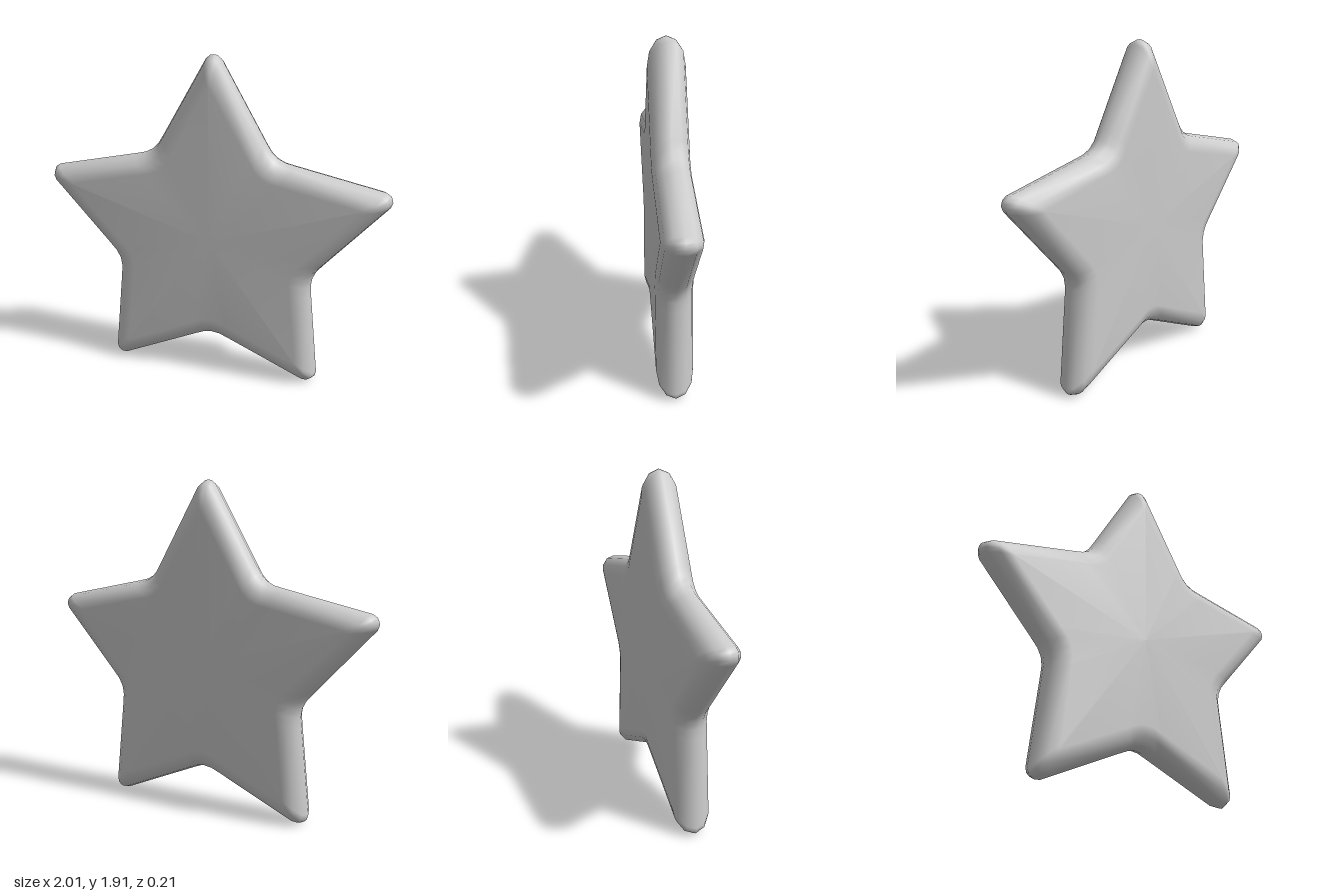
import * as THREE from 'three';

const CENTRE_Y = 0.852;
const HALF_DEPTH = 0.105;

// One fifth of the outline, counter-clockwise from an arm tip.
// Each entry: [frame angle in degrees, rim radius, rim offset, face radius, face offset]
const SECTOR = [
  [0, 1.052, 0, 0.89, 0],
  [0, 1.05, 0.02, 0.886, 0.003],
  [0, 1.03, 0.045, 0.875, 0.009],
  [36, 0.652, -0.103, 0.532, -0.1],
  [36, 0.63, -0.05, 0.51, -0.05],
  [36, 0.622, 0, 0.503, 0],
  [36, 0.63, 0.05, 0.51, 0.05],
  [36, 0.652, 0.103, 0.532, 0.1],
  [72, 1.03, -0.045, 0.875, -0.009],
  [72, 1.05, -0.02, 0.886, -0.003],
];

// Point at a radius along a ray, shifted sideways from it
function polar(deg, r, side) {
  const a = THREE.MathUtils.degToRad(deg);
  return new THREE.Vector2(
    r * Math.cos(a) - side * Math.sin(a),
    r * Math.sin(a) + side * Math.cos(a)
  );
}

function starGeometry() {
  const rim = [], face = [];
  for (let arm = 0; arm < 5; arm++) {
    for (const [deg, rr, rs, fr, fs] of SECTOR) {
      const a = 90 + arm * 72 + deg;
      rim.push(polar(a, rr, rs));
      face.push(polar(a, fr, fs));
    }
  }

  // Rings from the front face around the rounded edge to the back face
  const n = rim.length, rings = 7;
  const positions = [], index = [];
  for (let j = 0; j < rings; j++) {
    const t = Math.PI / 2 - (j * Math.PI) / (rings - 1);
    for (let i = 0; i < n; i++) {
      const p = face[i].clone().lerp(rim[i], Math.cos(t));
      positions.push(p.x, p.y, HALF_DEPTH * Math.sin(t));
    }
  }
  const front = rings * n, back = front + 1;
  positions.push(0, 0, HALF_DEPTH, 0, 0, -HALF_DEPTH);

  for (let i = 0; i < n; i++) {
    const k = (i + 1) % n;
    for (let j = 0; j < rings - 1; j++) {
      const a = j * n + i, b = j * n + k;
      index.push(a, a + n, b + n, a, b + n, b);
    }
    // Front and back faces fan out from their centres
    const last = (rings - 1) * n;
    index.push(front, i, k, back, last + k, last + i);
  }

  const geometry = new THREE.BufferGeometry();
  geometry.setAttribute('position', new THREE.Float32BufferAttribute(positions, 3));
  geometry.setIndex(index);
  geometry.computeVertexNormals();
  return geometry;
}

export function createModel() {
  const group = new THREE.Group();
  group.name = 'roundedStar';
  const star = new THREE.Mesh(
    starGeometry(),
    new THREE.MeshStandardMaterial({ color: 0xcccccc })
  );
  star.name = 'starBody';
  star.position.y = CENTRE_Y;
  group.add(star);
  return group;
}
